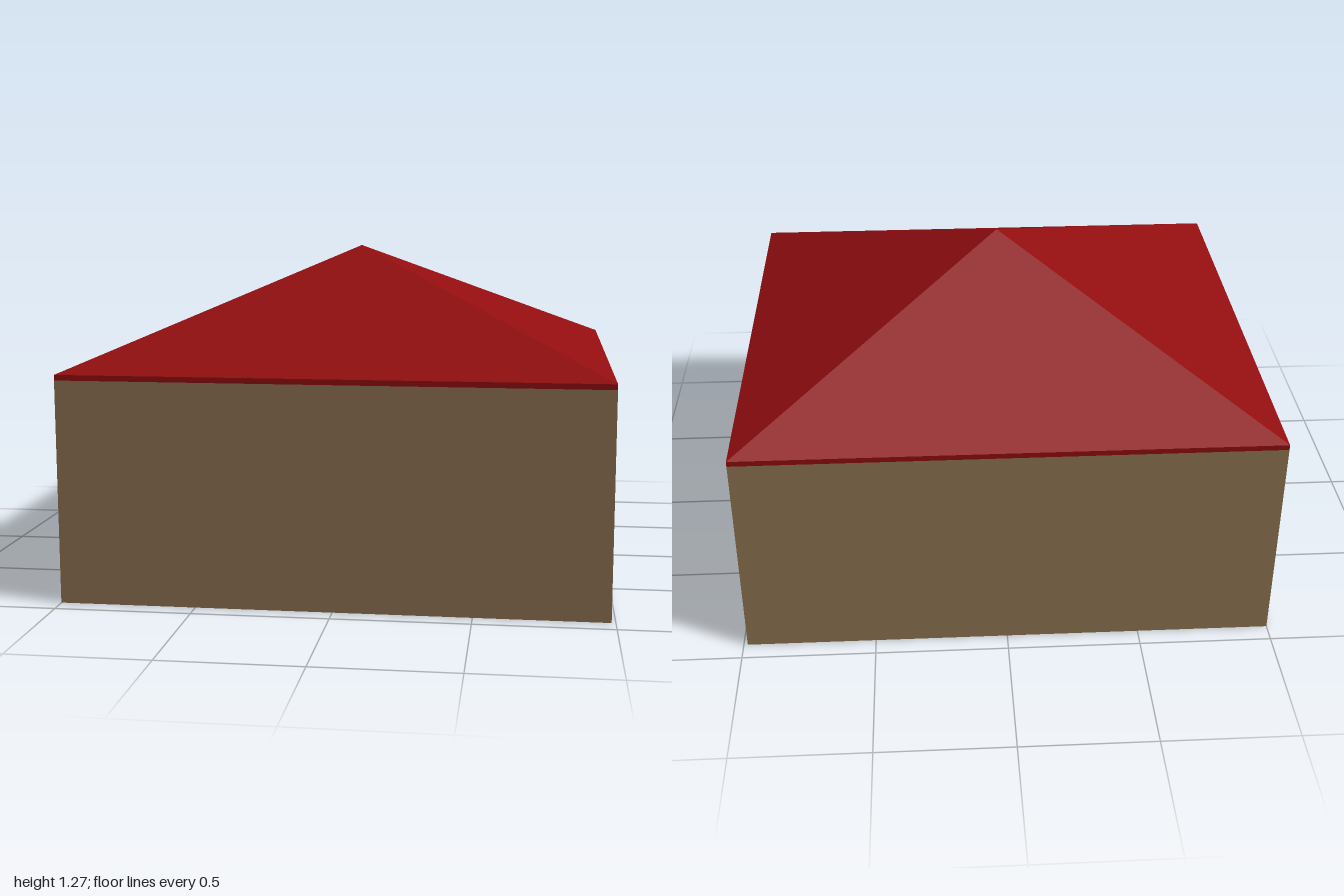
import * as THREE from 'three';

const X0 = -1, X1 = 0.985, Z = 0.93;          // footprint
const CX = (X0 + X1) / 2, W = X1 - X0;
const WALL_H = 0.82, EAVE = 0.84, APEX = 1.27;
const TX = 0.16, TZ = 0.145, POCKET = 0.05;   // wall thicknesses, recess depth

const mat = (color, extra = {}) =>
  new THREE.MeshStandardMaterial({ color, flatShading: true, ...extra });
const wallMat = mat(0x8f7453), roofMat = mat(0x920d0f), woodMat = mat(0x4c2f1d);
const glassMat = mat(0x7396a8), knobMat = mat(0x6b5a2a, { flatShading: false });
const stepMat = mat(0x999999);

export function createModel() {
  const house = new THREE.Group();
  house.name = 'house';

  const add = (parent, name, geometry, material, x = 0, y = 0, z = 0) => {
    const mesh = new THREE.Mesh(geometry, material);
    mesh.name = name;
    mesh.position.set(x, y, z);
    parent.add(mesh);
    return mesh;
  };
  const rect = (target, z0, y0, z1, y1) => {
    target.moveTo(z0, y0);
    target.lineTo(z1, y0);
    target.lineTo(z1, y1);
    target.lineTo(z0, y1);
    target.closePath();
    return target;
  };

  // Hollow ring of walls, open at top and bottom
  const plan = rect(new THREE.Shape(), X0, -Z, X1 - POCKET, Z);
  plan.holes.push(rect(new THREE.Path(), X0 + TX, -Z + TZ, X1 - TX, Z - TZ));
  const ring = new THREE.ExtrudeGeometry(plan, { depth: WALL_H, bevelEnabled: false });
  ring.rotateX(-Math.PI / 2);
  add(house, 'walls', ring, wallMat);

  // Entrance wall skin with a door notch and window holes (shape x runs along -z)
  const windows = [{ z: 0.54, name: 'leftWindow' }, { z: -0.487, name: 'rightWindow' }];
  const winW = 0.292, winH = 0.285, winY = 0.388, doorW = 0.25, doorH = 0.38;
  const skin = new THREE.Shape();
  [[-Z, 0], [-doorW / 2, 0], [-doorW / 2, doorH], [doorW / 2, doorH],
    [doorW / 2, 0], [Z, 0], [Z, WALL_H], [-Z, WALL_H]]
    .forEach(([x, y], i) => (i ? skin.lineTo(x, y) : skin.moveTo(x, y)));
  for (const { z } of windows) {
    skin.holes.push(rect(new THREE.Path(), -z - winW / 2, winY - winH / 2,
      -z + winW / 2, winY + winH / 2));
  }
  const skinGeo = new THREE.ExtrudeGeometry(skin, { depth: POCKET, bevelEnabled: false });
  skinGeo.rotateY(Math.PI / 2);
  add(house, 'entranceWall', skinGeo, wallMat, X1 - POCKET);

  // Recessed windows with crossed bars
  for (const { z, name } of windows) {
    const win = new THREE.Group();
    win.name = name;
    win.position.set(X1, winY, z);
    add(win, 'glass', new THREE.BoxGeometry(0.01, winH, winW), glassMat, -0.044);
    add(win, 'uprightBar', new THREE.BoxGeometry(0.035, winH, 0.03), woodMat, -0.023);
    add(win, 'crossBar', new THREE.BoxGeometry(0.037, 0.03, winW), woodMat, -0.023);
    house.add(win);
  }

  // Recessed door with a round knob
  const door = new THREE.Group();
  door.name = 'door';
  door.position.x = X1;
  add(door, 'doorPanel', new THREE.BoxGeometry(0.025, doorH, doorW), woodMat,
    -0.0375, doorH / 2);
  const stem = new THREE.CylinderGeometry(0.006, 0.006, 0.03, 12).rotateZ(Math.PI / 2);
  add(door, 'knobStem', stem, knobMat, -0.013, 0.187, 0.097);
  add(door, 'knob', new THREE.SphereGeometry(0.014, 16, 12), knobMat, 0.001, 0.187, 0.097);
  house.add(door);

  // Thin slab set in the underside of the entrance wall
  add(house, 'footingSlab', new THREE.BoxGeometry(0.13, 0.006, 0.41), stepMat, 0.895, 0.002, 0.235);

  // Eave slab, which is also the ceiling
  add(house, 'eaveSlab', new THREE.BoxGeometry(W, EAVE - WALL_H, 2 * Z), roofMat,
    CX, (EAVE + WALL_H) / 2);

  // Four-sided pyramid roof
  const roof = new THREE.ConeGeometry(Math.SQRT1_2, APEX - EAVE, 4, 1, true);
  roof.rotateY(Math.PI / 4);
  roof.scale(W, 1, 2 * Z);
  add(house, 'roof', roof, roofMat, CX, (APEX + EAVE) / 2);

  return house;
}
